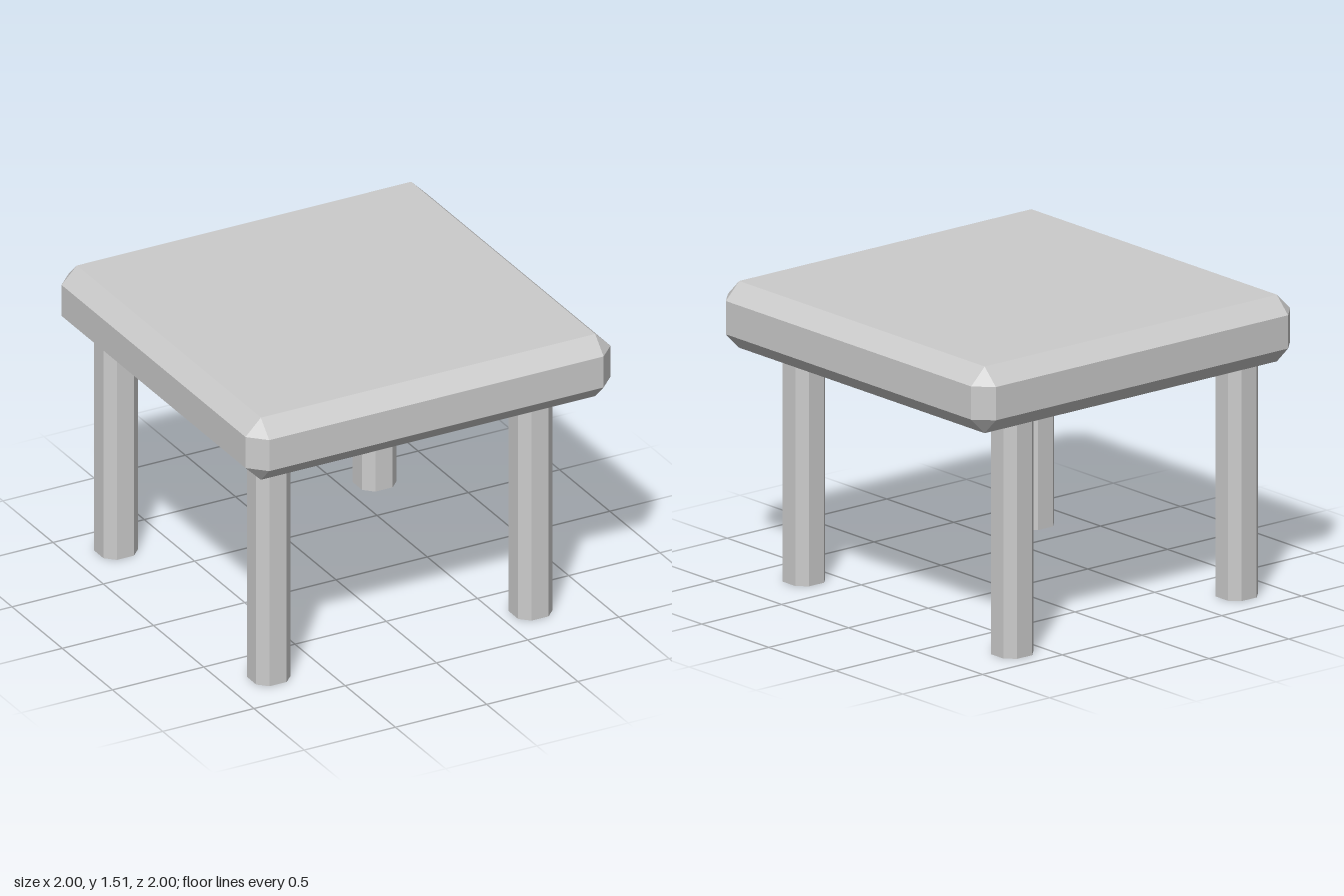
import * as THREE from 'three';
import { ConvexGeometry } from 'three/addons/geometries/ConvexGeometry.js';

const material = new THREE.MeshStandardMaterial({ color: 0xcccccc, flatShading: true });

// Box with every edge cut by the same chamfer, leaving triangular corners
function chamferedBox(hx, hy, hz, c) {
  const points = [];
  for (const sx of [-1, 1]) for (const sy of [-1, 1]) for (const sz of [-1, 1]) {
    points.push(
      new THREE.Vector3(sx * hx, sy * (hy - c), sz * (hz - c)),
      new THREE.Vector3(sx * (hx - c), sy * hy, sz * (hz - c)),
      new THREE.Vector3(sx * (hx - c), sy * (hy - c), sz * hz)
    );
  }
  return new ConvexGeometry(points);
}

// Square post with chamfered vertical edges, standing on y = 0
function chamferedPost(half, c, height) {
  const a = half, b = half - c;
  const outline = [[a, -b], [a, b], [b, a], [-b, a], [-a, b], [-a, -b], [-b, -a], [b, -a]];
  const shape = new THREE.Shape(outline.map(([x, y]) => new THREE.Vector2(x, y)));
  const geometry = new THREE.ExtrudeGeometry(shape, { depth: height, bevelEnabled: false });
  return geometry.rotateX(-Math.PI / 2);
}

export function createModel() {
  const table = new THREE.Group();
  table.name = 'table';

  // Thick top slab
  const top = new THREE.Mesh(chamferedBox(1, 0.1675, 1, 0.084), material);
  top.name = 'tableTop';
  top.position.y = 1.3425;
  table.add(top);

  // Four legs, placed slightly unevenly
  const legGeometry = chamferedPost(0.094, 0.047, 1.175);
  const legs = [
    ['frontLeftLeg', 0.661, 0.736],
    ['frontRightLeg', -0.774, 0.736],
    ['backLeftLeg', 0.661, -0.817],
    ['backRightLeg', -0.774, -0.785],
  ];
  for (const [name, x, z] of legs) {
    const leg = new THREE.Mesh(legGeometry, material);
    leg.name = name;
    leg.position.set(x, 0, z);
    table.add(leg);
  }
  return table;
}
